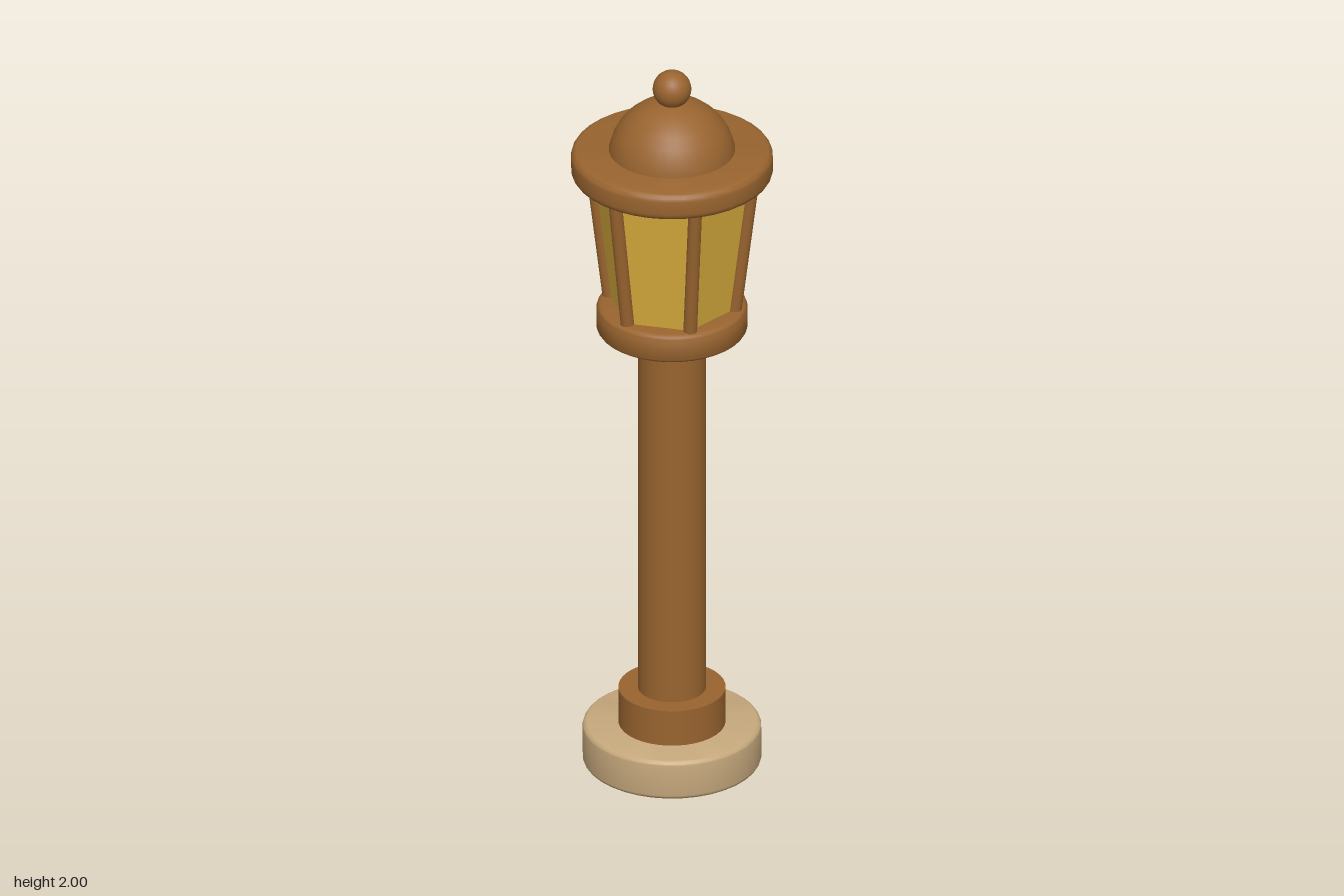
import * as THREE from 'three';
import { toCreasedNormals } from 'three/addons/utils/BufferGeometryUtils.js';

const SEGMENTS = 36;

// Solid disc from y0 to y1 whose rims are rounded by the given bevel
function roundedDisc(radius, y0, y1, bevel) {
  const points = [new THREE.Vector2(0, y0)];
  const steps = 4;
  for (const [cy, start] of [[y0 + bevel, -Math.PI / 2], [y1 - bevel, 0]]) {
    for (let i = 0; i <= steps; i++) {
      const a = start + (i / steps) * Math.PI / 2;
      points.push(new THREE.Vector2(radius - bevel + Math.cos(a) * bevel, cy + Math.sin(a) * bevel));
    }
  }
  points.push(new THREE.Vector2(0, y1));
  return toCreasedNormals(new THREE.LatheGeometry(points, SEGMENTS), 0.7);
}

function column(radius, y0, y1) {
  return new THREE.CylinderGeometry(radius, radius, y1 - y0, SEGMENTS).translate(0, (y0 + y1) / 2, 0);
}

export function createModel() {
  const model = new THREE.Group();
  model.name = 'lampPost';

  const material = (name, color) => {
    const m = new THREE.MeshStandardMaterial({ color });
    m.name = name;
    return m;
  };
  const bronze = material('bronze', 0x99642f);
  const stone = material('stone', 0xc6a87c);
  const glass = material('amberGlass', 0xd8ac3c);

  const add = (name, geometry, mat, parent = model) => {
    const mesh = new THREE.Mesh(geometry, mat);
    mesh.name = name;
    parent.add(mesh);
    return mesh;
  };

  // Base and post
  add('base', roundedDisc(0.23, 0, 0.11, 0.012), stone);
  add('collar', column(0.138, 0.1, 0.21), bronze);
  add('post', column(0.088, 0.2, 1.26), bronze);

  // Lantern: lower ring, six tapering panes and a bar on each corner
  const lantern = new THREE.Group();
  lantern.name = 'lantern';
  model.add(lantern);
  add('lowerRing', roundedDisc(0.195, 1.25, 1.33, 0.018), bronze, lantern);

  const bottom = 1.32, top = 1.71, rBottom = 0.165, rTop = 0.213;
  const panes = new THREE.CylinderGeometry(rTop, rBottom, top - bottom, 6).translate(0, (top + bottom) / 2, 0);
  add('panes', toCreasedNormals(panes, 0.5), glass, lantern);

  const up = new THREE.Vector3(0, 1, 0);
  for (let i = 0; i < 6; i++) {
    const a = i * Math.PI / 3;
    const p = new THREE.Vector3(Math.sin(a) * rBottom, bottom, Math.cos(a) * rBottom);
    const q = new THREE.Vector3(Math.sin(a) * rTop, top, Math.cos(a) * rTop);
    const bar = add('cornerBar', new THREE.CylinderGeometry(0.018, 0.018, p.distanceTo(q), 12), bronze, lantern);
    bar.position.copy(p).add(q).multiplyScalar(0.5);
    bar.quaternion.setFromUnitVectors(up, q.clone().sub(p).normalize());
  }

  // Roof
  add('roofRim', roundedDisc(0.26, 1.7, 1.775, 0.02), bronze, lantern);
  const dome = new THREE.SphereGeometry(0.165, SEGMENTS, 8, 0, Math.PI * 2, 0, Math.PI / 2);
  add('roofDome', dome.translate(0, 1.75, 0), bronze, lantern);
  add('finial', new THREE.SphereGeometry(0.05, 24, 16).translate(0, 1.95, 0), bronze, lantern);

  return model;
}
